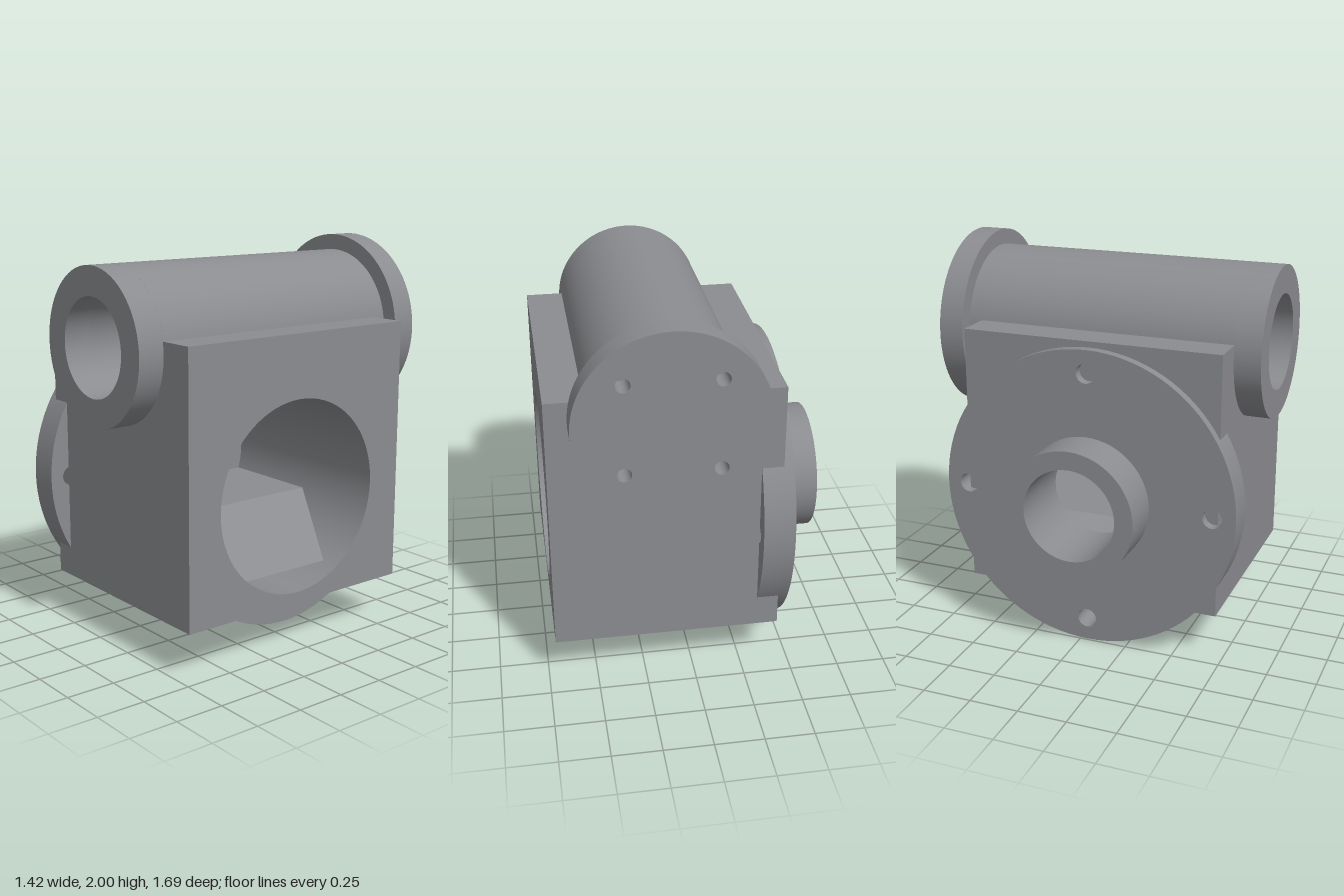
import * as THREE from 'three';
import { toCreasedNormals } from 'three/addons/utils/BufferGeometryUtils.js';

export function createModel() {
  const model = new THREE.Group();
  model.name = 'gearHousing';
  const castMetal = new THREE.MeshStandardMaterial({ color: 0x8b8c90, side: THREE.DoubleSide });
  castMetal.name = 'castMetal';

  // Main bore runs along x, upper bore along z
  const MAIN = { u: -0.035, y: 0.785 };
  const UPPER = { u: 0.135, y: 1.53 };

  const add = (name, geometry) => {
    const mesh = new THREE.Mesh(geometry, castMetal);
    mesh.name = name;
    model.add(mesh);
  };
  const hole = (u, y, r) => new THREE.Path().absarc(u, y, r, 0, Math.PI * 2, true);
  const disc = (c, r, bore) => {
    const s = new THREE.Shape().absarc(c.u, c.y, r, 0, Math.PI * 2, false);
    if (bore) s.holes.push(hole(c.u, c.y, bore));
    return s;
  };
  const boltHoles = (shape, c, radius, r, start) => {
    for (let i = 0; i < 4; i++) {
      const a = start + i * Math.PI / 2;
      shape.holes.push(hole(c.u + radius * Math.cos(a), c.y + radius * Math.sin(a), r));
    }
    return shape;
  };
  const extrude = (shape, from, to) => {
    const g = new THREE.ExtrudeGeometry(shape, { depth: to - from, bevelEnabled: false, curveSegments: 48 });
    g.translate(0, 0, from);
    return toCreasedNormals(g, 0.5);
  };
  const alongZ = (name, shape, from, to) => add(name, extrude(shape, from, to));
  const alongX = (name, shape, from, to) => add(name, extrude(shape, from, to).rotateY(Math.PI / 2));

  // Lower block with the large bore
  const block = new THREE.Shape([
    [-0.71, 0.24], [0.645, 0.24], [0.645, 1.28], [-0.71, 1.28],
  ].map(([u, y]) => new THREE.Vector2(u, y)));
  block.holes.push(hole(MAIN.u, MAIN.y, 0.49));
  alongX('lowerBlock', block, -0.44, 0.71);

  // Upper block merging into the arched shaft tube
  const a = Math.asin((1.595 - UPPER.y) / 0.39);
  const arch = new THREE.Shape();
  arch.moveTo(-0.44, 1.28).lineTo(0.71, 1.28).lineTo(0.71, 1.595);
  arch.absarc(UPPER.u, UPPER.y, 0.39, a, Math.PI - a, false);
  arch.lineTo(-0.44, 1.595);
  arch.holes.push(hole(UPPER.u, UPPER.y, 0.245));
  alongZ('upperBlock', arch, -0.645, 0.71);

  // Shaft tube ends and rear flange
  alongZ('frontTube', disc(UPPER, 0.39, 0.245), 0.71, 0.845);
  alongZ('rearTube', disc(UPPER, 0.39, 0.245), -0.72, -0.645);
  alongZ('rearFlange', boltHoles(disc(UPPER, 0.47), UPPER, 0.32, 0.035, Math.PI / 4), -0.845, -0.715);

  // Round sleeve showing under the block
  alongX('sleeve', disc(MAIN, 0.675, 0.49), -0.33, 0.61);

  // Side flange, inner wall and boss
  alongX('sideFlange', boltHoles(disc(MAIN, 0.78, 0.24), MAIN, 0.66, 0.05, 0), -0.49, -0.33);
  alongX('boss', disc(MAIN, 0.335, 0.24), -0.715, -0.49);

  // Flat strips across the bores: rows of [distance along bore, height, half width]
  const strip = (name, rows, centre, xAxis) => {
    const pos = [], index = [];
    rows.forEach(([d, y, w], i) => {
      for (const s of [-1, 1]) {
        if (xAxis) pos.push(d, y, centre - s * w);
        else pos.push(centre + s * w, y, d);
      }
      if (i) index.push(2 * i - 2, 2 * i - 1, 2 * i, 2 * i - 1, 2 * i + 1, 2 * i);
    });
    const g = new THREE.BufferGeometry();
    g.setAttribute('position', new THREE.Float32BufferAttribute(pos, 3));
    g.setIndex(index);
    const flat = g.toNonIndexed();
    flat.computeVertexNormals();
    add(name, flat);
  };
  strip('mainBoreLedge', [[0.61, 0.375, 0.268], [0.22, 0.645, 0.47], [-0.33, 0.645, 0.47]], 0.035, true);
  strip('upperBoreLedge', [[0.6, 1.3, 0.08], [0.2, 1.46, 0.235], [-0.715, 1.46, 0.235]], UPPER.u, false);

  return model;
}
